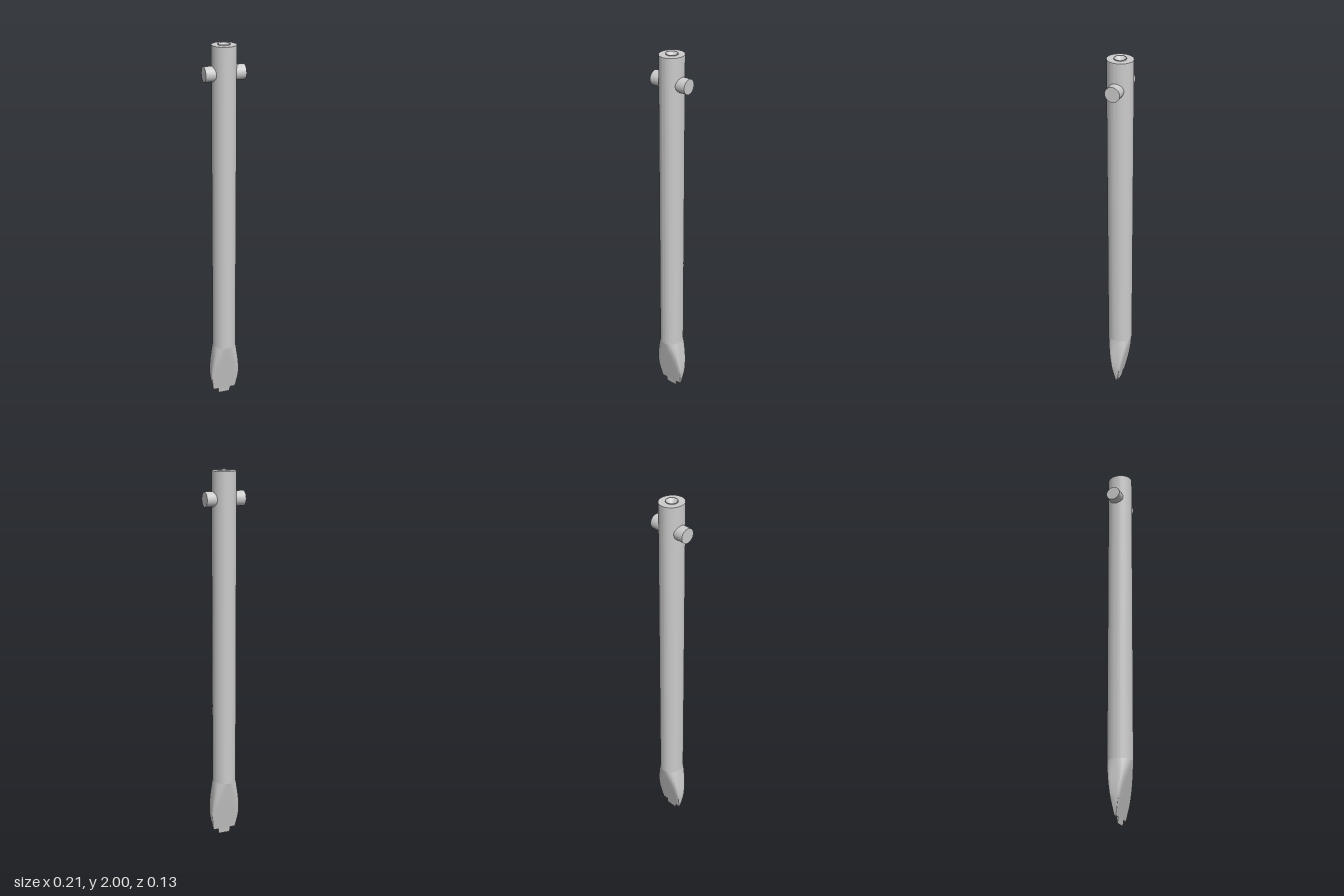
import * as THREE from 'three';
import { toCreasedNormals } from 'three/addons/utils/BufferGeometryUtils.js';

const SIDES = 64;
const material = new THREE.MeshStandardMaterial({ color: 0xcccccc });

// Skin a stack of superellipse sections: [y, half width x, half depth z, exponent]
function loft(sections) {
  const positions = [], index = [];
  const bend = (v, n) => Math.sign(v) * Math.pow(Math.abs(v), 2 / n);
  for (const [y, rx, rz, n = 2] of sections) {
    for (let j = 0; j < SIDES; j++) {
      const a = (j / SIDES) * Math.PI * 2;
      positions.push(rx * bend(Math.cos(a), n), y, rz * bend(Math.sin(a), n));
    }
  }
  for (let i = 0; i < sections.length - 1; i++) {
    for (let j = 0; j < SIDES; j++) {
      const k = (j + 1) % SIDES;
      const a = i * SIDES + j, b = i * SIDES + k;
      const c = a + SIDES, d = b + SIDES;
      index.push(a, c, b, b, c, d);
    }
  }
  const geometry = new THREE.BufferGeometry();
  geometry.setAttribute('position', new THREE.Float32BufferAttribute(positions, 3));
  geometry.setIndex(index);
  return toCreasedNormals(geometry, 0.6);
}

function addPart(group, name, geometry) {
  const mesh = new THREE.Mesh(geometry, material);
  mesh.name = name;
  group.add(mesh);
  return mesh;
}

export function createModel() {
  const group = new THREE.Group();
  group.name = 'flatBladeBit';
  const RX = 0.063, RZ = 0.067, SHOULDER = 0.32;

  // Round shank with a flat top
  addPart(group, 'shank', loft([
    [SHOULDER, RX, RZ], [1.995, RX, RZ], [1.995, 0.03, 0.03],
  ]));

  // Thin raised lip around a conical centre hole
  addPart(group, 'centreHole', loft([
    [1.995, 0.031, 0.031], [2, 0.031, 0.031], [2, 0.03, 0.03], [1.96, 0, 0],
  ]));

  // Wedge blade: widens, then narrows, while its depth tapers evenly to the edge
  const depth = (y) => Math.max(0.001, (RZ * y) / SHOULDER);
  const outline = [
    [0.03, 0.065, 10], [0.07, 0.072, 10], [0.11, 0.079, 9], [0.14, 0.08, 8],
    [0.18, 0.078, 6.5], [0.22, 0.074, 5], [0.26, 0.069, 3.6], [0.29, 0.066, 2.7],
    [SHOULDER, RX, 2],
  ];
  addPart(group, 'blade', loft([
    [0.03, 0, 0], ...outline.map(([y, w, n]) => [y, w, depth(y), n]),
  ]));

  // Narrow tongue at the cutting edge
  addPart(group, 'tipTongue', loft([
    [0, 0, 0], [0, 0.034, depth(0), 10], [0.032, 0.034, depth(0.032), 10],
  ]));

  // Cross pin through the shank
  const pin = addPart(group, 'crossPin', new THREE.CylinderGeometry(0.039, 0.039, 0.212, 48));
  pin.rotation.z = Math.PI / 2;
  pin.position.y = 1.853;

  return group;
}
